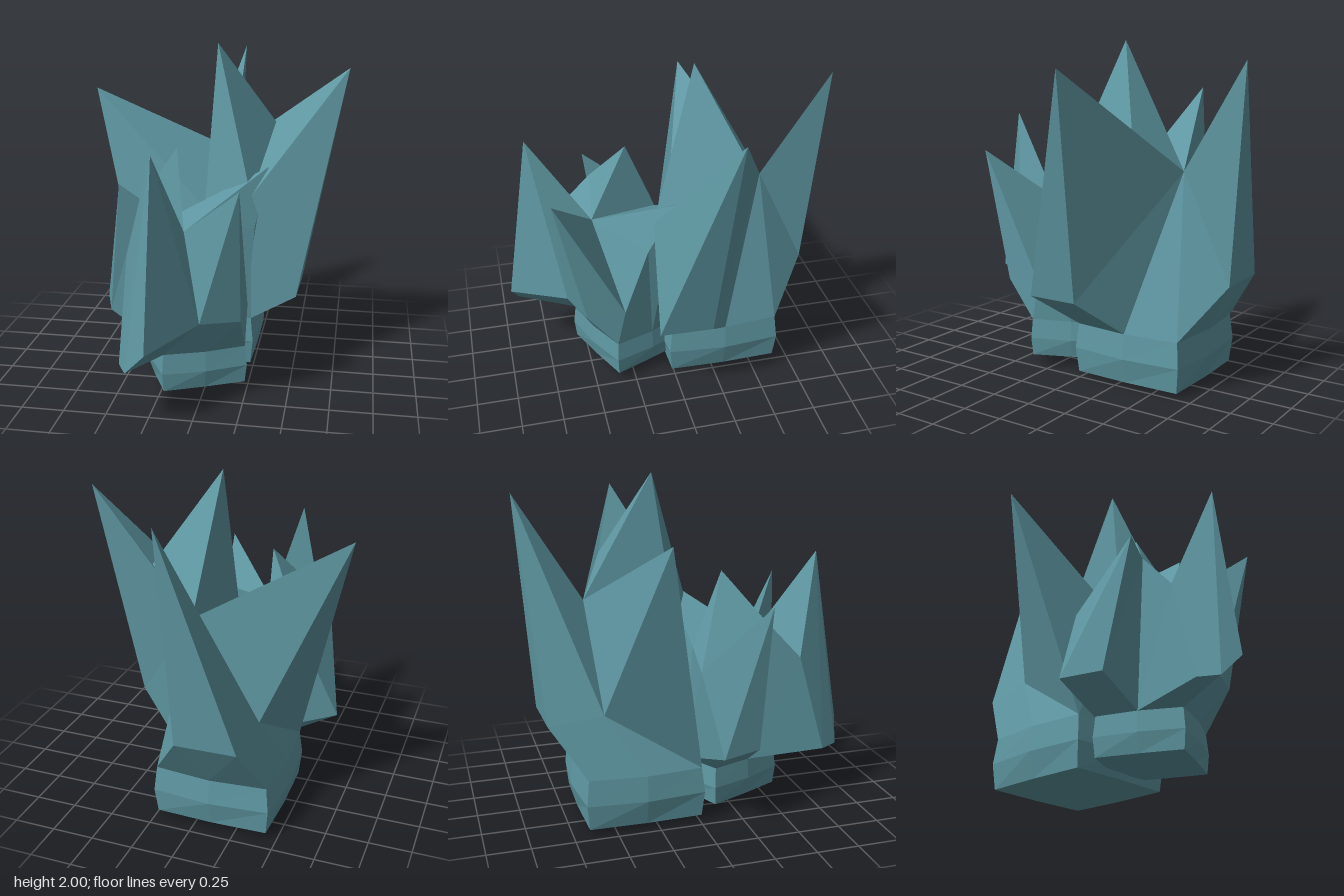
import * as THREE from 'three';

const material = new THREE.MeshStandardMaterial({ color: 0x5f98a3, flatShading: true });

// Eight-sided, slightly bulging square ring: corner, mid, corner, mid... counter-clockwise from above
function ring([cx, cz], y, corner, mid, turn) {
  const c = Math.cos(turn), s = Math.sin(turn);
  const plan = [[-1, 1], [0, 1], [1, 1], [1, 0], [1, -1], [0, -1], [-1, -1], [-1, 0]];
  return plan.map(([u, v]) => {
    const r = u && v ? corner : mid;
    return [cx + r * (u * c + v * s), y, cz + r * (v * c - u * s)];
  });
}

// Crystal cluster: a ringed foot closed below, then facets between ring points r0..r7 and named points
function cluster(name, { center, turn, bottom, rings, points, facets }) {
  const tris = [];
  const addFace = (p) => {
    for (let i = 1; i < p.length - 1; i++) tris.push(...p[0], ...p[i], ...p[i + 1]);
  };
  const loops = rings.map(([y, corner, mid]) => ring(center, y, corner, mid, turn));
  for (let i = 0; i < 8; i++) {
    const j = (i + 1) % 8;
    addFace([[center[0], bottom, center[1]], loops[0][j], loops[0][i]]);
    for (let k = 0; k < loops.length - 1; k++) {
      addFace([loops[k][i], loops[k][j], loops[k + 1][j], loops[k + 1][i]]);
    }
  }
  const all = { ...points };
  loops[loops.length - 1].forEach((p, i) => { all['r' + i] = p; });
  facets.forEach((f) => addFace(f.split(' ').map((k) => all[k])));

  const geometry = new THREE.BufferGeometry();
  geometry.setAttribute('position', new THREE.Float32BufferAttribute(tris, 3));
  geometry.computeVertexNormals();
  const mesh = new THREE.Mesh(geometry, material);
  mesh.name = name;
  return mesh;
}

const large = {
  center: [-0.1, -0.32],
  turn: 0,
  bottom: 0,
  rings: [[0.03, 0.335, 0.345], [0.18, 0.35, 0.38], [0.33, 0.335, 0.365]],
  points: {
    // spike tips
    middle: [0, 2, -0.16], left: [0.78, 1.86, -0.23],
    right: [-0.78, 1.7, -0.26], back: [0.07, 1.9, -0.96],
    // valleys between spikes
    hub: [0.03, 1.27, -0.57], saddle: [0.33, 1.49, -0.41],
    notch: [0.24, 1.145, 0.13], dip: [-0.06, 1.02, -0.02],
    // overhanging shelves
    l1: [0.52, 0.545, 0.155], l2: [0.535, 0.55, -0.16],
    b1: [-0.33, 0.64, -0.86], b2: [0.03, 0.64, -0.87], b3: [-0.35, 0.68, -0.54],
  },
  facets: [
    // left spike
    'r2 r3 l2 l1', 'l1 l2 left', 'r2 l1 notch', 'l1 left notch', 'notch left saddle',
    'l2 r3 hub', 'l2 hub left', 'hub saddle left', 'r3 r4 hub',
    // back spike
    'r4 r5 b2', 'r4 b2 hub', 'b2 back hub', 'r5 r6 b1 b2', 'b2 b1 back',
    'r6 r7 b3 b1', 'b1 b3 back', 'back b3 hub',
    // right spike
    'r7 r0 b3', 'r0 right b3', 'b3 right hub', 'r0 dip right', 'right dip hub',
    // front wall and middle spike
    'r0 r1 dip', 'r1 r2 notch', 'r1 notch dip',
    'dip notch middle', 'notch saddle middle', 'saddle hub middle', 'hub dip middle',
  ],
};

const small = {
  center: [-0.08, 0.235],
  turn: 0.42,
  bottom: 0.055,
  rings: [[0.07, 0.245, 0.25], [0.18, 0.255, 0.275], [0.3, 0.245, 0.265]],
  points: {
    // spike tips
    front: [-0.2, 1.53, 0.8], corner: [0.25, 1.33, 0.71], right: [-0.47, 1.27, 0.43],
    left: [0.33, 1.3, 0.01], middle: [-0.18, 1.44, 0.21],
    // valleys between spikes
    hub: [-0.1, 1.01, 0.44], gap: [0.02, 0.535, 0.63], saddle: [-0.35, 1.18, 0.41],
    shoulder: [-0.38, 0.93, 0.64], rear: [-0.2, 1, 0.03], rearRight: [-0.46, 0.92, 0],
    elbow: [0.27, 0.97, 0.17],
    // overhanging shelves
    f1: [-0.4, 0.345, 0.8], f2: [-0.34, 0.345, 0.91], f3: [-0.22, 0.475, 0.96],
    c1: [0.24, 0.53, 0.54], c2: [0.25, 0.54, 0.31],
    s1: [-0.65, 0.455, 0.08], s2: [-0.57, 0.46, 0.32],
  },
  facets: [
    // front spike
    'r0 r1 gap', 'r0 gap f3 f2', 'r7 r0 f2 f1', 'f3 gap front', 'f2 f3 front', 'f1 f2 front',
    'f1 front shoulder', 'r7 f1 shoulder', 'shoulder front hub', 'gap hub front',
    'r7 shoulder saddle', 'shoulder hub saddle',
    // front corner spike
    'r1 r2 c1 gap', 'gap c1 corner', 'r2 r3 c2 c1', 'c1 c2 corner', 'c2 hub corner', 'hub gap corner',
    // left spike
    'r3 elbow c2', 'c2 elbow hub', 'r3 r4 left elbow', 'elbow left hub',
    'r4 r5 rear left', 'left rear hub',
    // middle spike
    'hub rear middle', 'saddle hub middle', 'r5 rearRight rear',
    'rear rearRight middle', 'rearRight saddle middle',
    // right spike
    'rearRight right saddle', 'r5 r6 s1 rearRight', 'r6 r7 s2 s1',
    's1 s2 right', 's1 right rearRight', 's2 saddle right', 'r7 saddle s2',
  ],
};

export function createModel() {
  const group = new THREE.Group();
  group.name = 'crystalCluster';
  group.add(cluster('largeCrystal', large), cluster('smallCrystal', small));
  return group;
}
